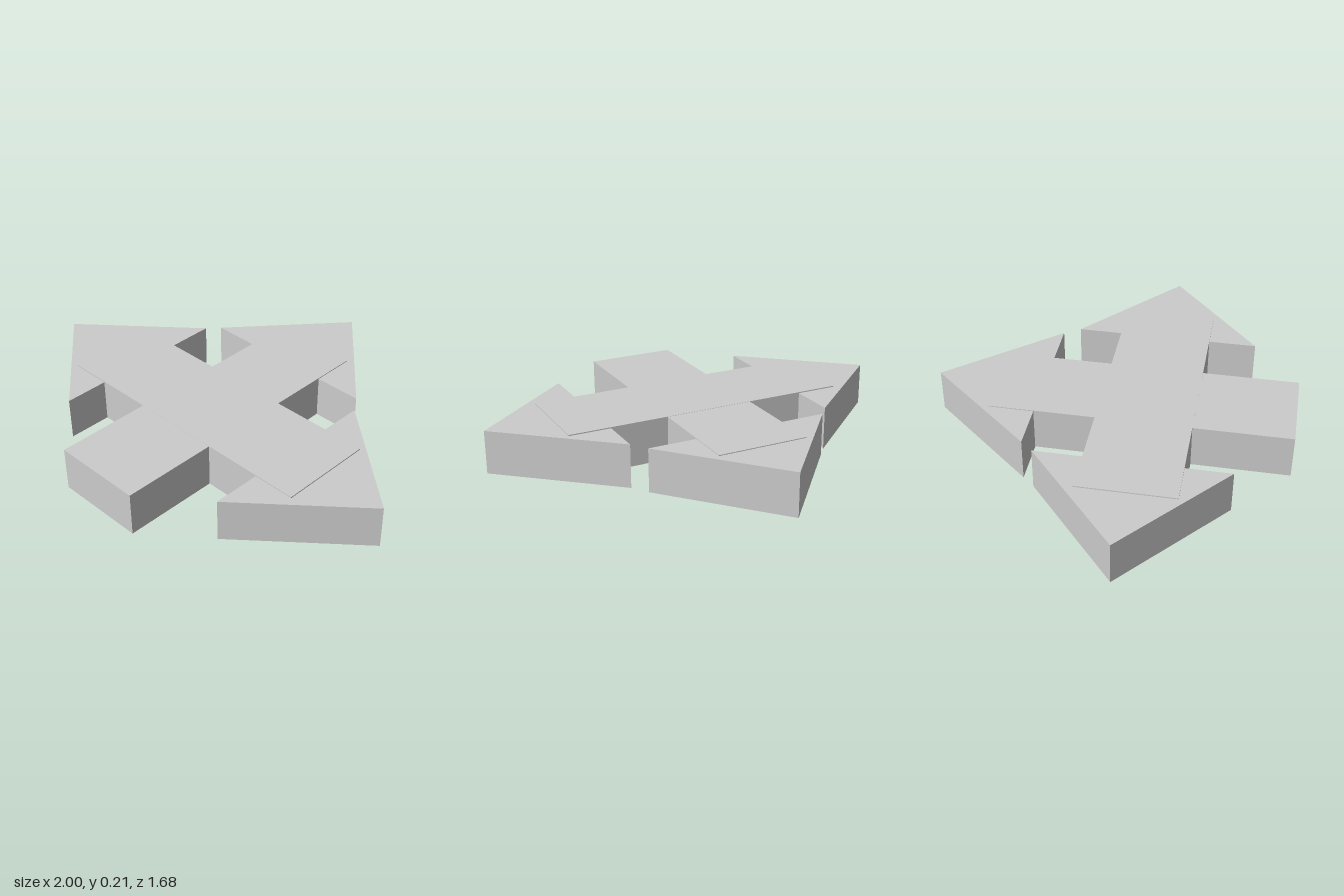
import * as THREE from 'three';

const material = new THREE.MeshStandardMaterial({ color: 0xcccccc, flatShading: true, side: THREE.DoubleSide });

// Open-bottomed shell: a plan outline of [x, z] points raised to a height.
function shell(name, outline, height) {
  const shape = new THREE.Shape(outline.map(([x, z]) => new THREE.Vector2(x, -z)));
  const solid = new THREE.ExtrudeGeometry(shape, { depth: height, bevelEnabled: false });
  solid.rotateX(-Math.PI / 2);

  // Drop the triangles lying on the floor, keeping the top and the walls.
  const p = solid.attributes.position;
  const kept = [];
  for (let i = 0; i < p.count; i += 3) {
    const corners = [i, i + 1, i + 2];
    if (corners.every((k) => Math.abs(p.getY(k)) < 1e-5)) continue;
    for (const k of corners) kept.push(p.getX(k), p.getY(k), p.getZ(k));
  }
  const geometry = new THREE.BufferGeometry();
  geometry.setAttribute('position', new THREE.Float32BufferAttribute(kept, 3));
  geometry.computeVertexNormals();

  const mesh = new THREE.Mesh(geometry, material);
  mesh.name = name;
  return mesh;
}

const rectangle = (x0, x1, z0, z1) => [[x0, z0], [x0, z1], [x1, z1], [x1, z0]];

export function createModel() {
  const model = new THREE.Group();
  model.name = 'threeWayArrow';

  // Crossing bars, standing slightly proud of the arrowheads
  model.add(shell('crossBar', rectangle(-0.69, 0.69, -0.057, 0.385), 0.21));
  model.add(shell('stem', rectangle(-0.217, 0.212, -0.55, 0.838), 0.209));

  // Arrowheads
  model.add(shell('backArrowhead', [[-0.44, -0.34], [0.44, -0.34], [0, -0.845]], 0.205));
  model.add(shell('leftArrowhead', [[0.49, -0.265], [0.49, 0.612], [1, 0.172]], 0.205));
  model.add(shell('rightArrowhead', [[-0.49, -0.283], [-1, 0.157], [-0.49, 0.595]], 0.205));

  return model;
}
